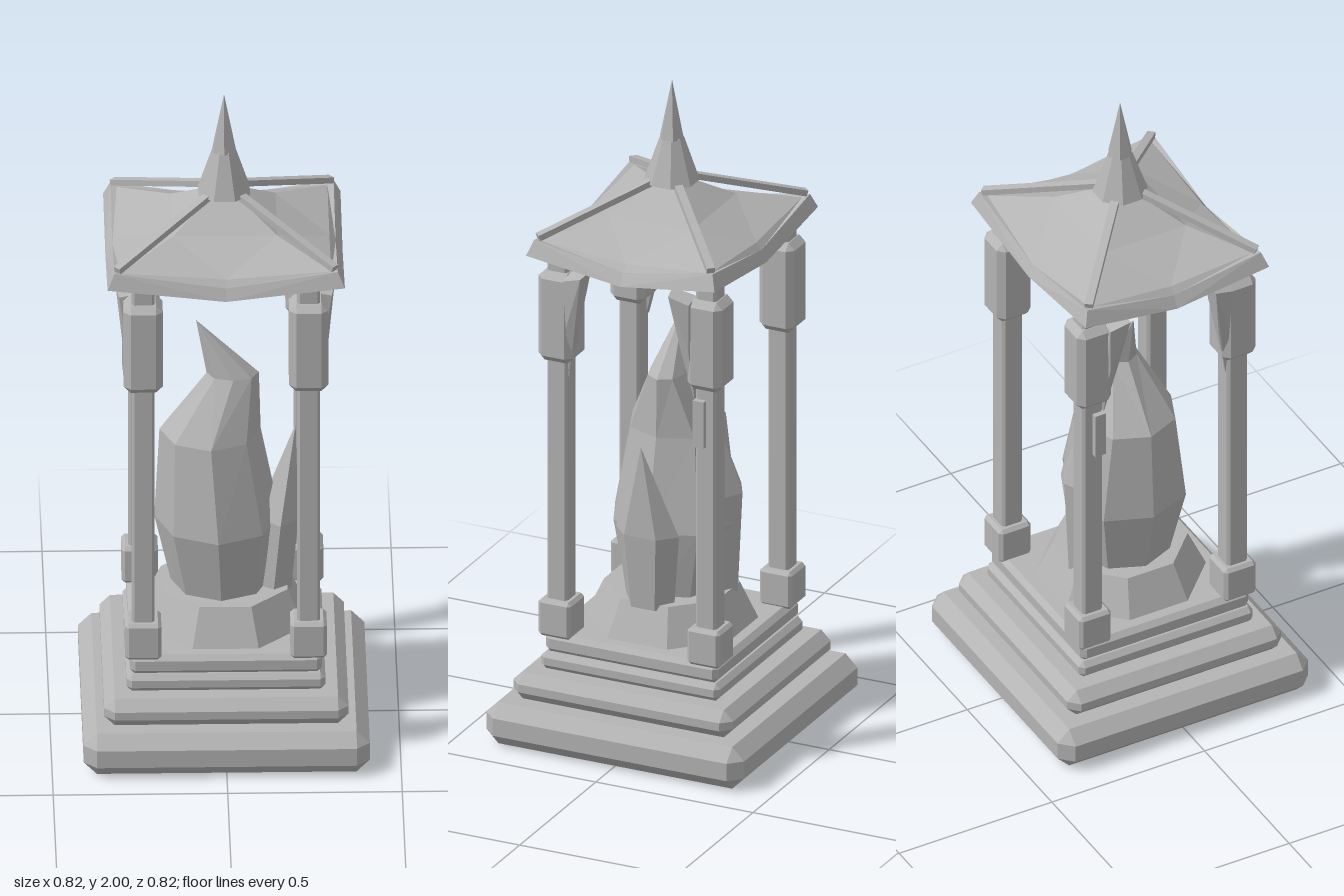
import * as THREE from 'three';
import { ConvexGeometry } from 'three/addons/geometries/ConvexGeometry.js';

const V = (x, y, z) => new THREE.Vector3(x, y, z);

// Skin a stack of rings (listed bottom to top), each an equal-length loop of points
function loft(rings) {
  const pos = [];
  const tri = (a, b, c) => {
    const area = b.clone().sub(a).cross(c.clone().sub(a)).length();
    if (area > 1e-8) for (const p of [a, b, c]) pos.push(p.x, p.y, p.z);
  };
  const n = rings[0].length;
  for (let k = 0; k < rings.length - 1; k++) {
    for (let i = 0; i < n; i++) {
      const j = (i + 1) % n;
      const [a, b, c, d] = [rings[k][i], rings[k][j], rings[k + 1][j], rings[k + 1][i]];
      if (i % 2) { tri(a, b, d); tri(b, c, d); } else { tri(a, b, c); tri(a, c, d); }
    }
  }
  const lo = rings[0], hi = rings[rings.length - 1];
  for (let i = 1; i < n - 1; i++) {
    tri(lo[0], lo[i + 1], lo[i]);
    tri(hi[0], hi[i], hi[i + 1]);
  }
  const geo = new THREE.BufferGeometry();
  geo.setAttribute('position', new THREE.Float32BufferAttribute(pos, 3));
  geo.computeVertexNormals();
  return geo;
}

// Box between y0 and y1 with every edge cut off by c
function chamferBox(hx, hz, y0, y1, c) {
  const ring = (y, k, cut) => {
    const x = hx - k, z = hz - k;
    return [
      V(-x + cut, y, z), V(x - cut, y, z), V(x, y, z - cut), V(x, y, -z + cut),
      V(x - cut, y, -z), V(-x + cut, y, -z), V(-x, y, -z + cut), V(-x, y, z - cut),
    ];
  };
  return loft([ring(y0, c, 0), ring(y0 + c, 0, c), ring(y1 - c, 0, c), ring(y1, c, 0)]);
}

// Faceted crystal from levels of [y, centre x, centre z, radius x, radius z]
function crystal(levels, sides, turn = 0) {
  return loft(levels.map(([y, cx, cz, rx, rz]) => Array.from({ length: sides }, (_, i) => {
    const a = turn + (i / sides) * Math.PI * 2;
    return V(cx + rx * Math.sin(a), y, cz + rz * Math.cos(a));
  })));
}

// Eight-point rectangle whose corners and edge middles have their own heights
function eaveRing(x, z, yMid, yCorner) {
  return [
    V(0, yMid, z), V(x, yCorner, z), V(x, yMid, 0), V(x, yCorner, -z),
    V(0, yMid, -z), V(-x, yCorner, -z), V(-x, yMid, 0), V(-x, yCorner, z),
  ];
}

export function createModel() {
  const model = new THREE.Group();
  const stone = new THREE.MeshStandardMaterial({ color: 0xb4b4b4, flatShading: true });
  stone.name = 'stone grey';
  const add = (name, geo, parent = model) => {
    const mesh = new THREE.Mesh(geo, stone);
    mesh.name = name;
    parent.add(mesh);
    return mesh;
  };

  // Stepped base
  const steps = [
    [0.41, 0, 0.13, 0.038], [0.35, 0.13, 0.215, 0.03],
    [0.285, 0.215, 0.268, 0.015], [0.275, 0.265, 0.325, 0.015],
  ];
  for (const [h, y0, y1, c] of steps) add('baseStep', chamferBox(h, h, y0, y1, c));

  // Mound holding the crystals
  add('mound', crystal([[0.32, 0, 0, 0.25, 0.25], [0.435, 0, 0, 0.195, 0.195]], 8, Math.PI / 8));

  // Crystals
  add('mainCrystal', crystal([
    [0.42, -0.01, 0, 0.14, 0.14], [0.64, -0.02, 0, 0.18, 0.19], [0.92, -0.04, 0, 0.145, 0.145],
    [1.1, 0.025, 0, 0.075, 0.055], [1.27, -0.08, 0, 0, 0],
  ], 8));
  add('sideCrystal', crystal([
    [0.42, 0.14, 0, 0.06, 0.075], [0.65, 0.16, 0, 0.06, 0.1], [0.93, 0.205, 0, 0, 0],
  ], 6));
  add('backCrystal', crystal([
    [0.42, -0.04, -0.13, 0.06, 0.06], [0.73, -0.04, -0.135, 0.075, 0.07], [0.92, -0.03, -0.14, 0, 0],
  ], 6));

  // Four columns
  for (const sx of [-1, 1]) {
    for (const sz of [-1, 1]) {
      const column = new THREE.Group();
      column.name = 'column';
      column.position.set(sx * 0.237, 0, sz * 0.237);
      model.add(column);
      add('shaft', chamferBox(0.033, 0.033, 0.31, 1.51, 0.008), column);
      add('foot', chamferBox(0.052, 0.052, 0.32, 0.435, 0.01), column);
      add('capital', chamferBox(0.056, 0.056, 1.18, 1.46, 0.02), column);

      // Tapered brace rising along the inner side of the capital
      const p = (x, y, z) => V(sx * x, y, sz * z);
      add('brace', new ConvexGeometry([
        p(0.265, 1.48, 0.13), p(0.315, 1.47, 0.14), p(0.305, 1.45, 0.2), p(0.25, 1.46, 0.2),
        p(0.285, 1.3, 0.165), p(0.295, 1.3, 0.195), p(0.262, 1.13, 0.2), p(0.255, 1.13, 0.205),
      ]));

      // Small plate on the outer side of the rear columns
      if (sz < 0) {
        const plate = add('columnPlate', new THREE.BoxGeometry(0.025, 0.145, 0.035));
        plate.position.set(sx * 0.274, 1.075, -0.222);
      }

      // Ridge beam along the roof hip
      const from = V(sx * 0.312, 1.577, sz * 0.275), to = V(sx * 0.04, 1.695, sz * 0.036);
      const ridge = add('roofRidge', new THREE.BoxGeometry(0.024, 0.018, from.distanceTo(to)));
      ridge.position.copy(from).lerp(to, 0.5);
      ridge.lookAt(to);
    }
  }

  // Roof with raised corners and sagging slopes
  add('roof', loft([
    eaveRing(0, 0, 1.485, 1.485),
    eaveRing(0.34, 0.3, 1.485, 1.525),
    eaveRing(0.32, 0.284, 1.52, 1.57),
    eaveRing(0.302, 0.267, 1.54, 1.563),
    eaveRing(0.15, 0.132, 1.61, 1.61),
    eaveRing(0, 0, 1.71, 1.71),
  ]));

  // Finial
  const collar = add('finialCollar', new THREE.CylinderGeometry(0.034, 0.08, 0.135, 8));
  collar.geometry.rotateY(Math.PI / 8);
  collar.position.y = 1.757;
  const spike = add('finialSpike', new THREE.ConeGeometry(0.038, 0.18, 6));
  spike.position.y = 1.91;

  return model;
}
